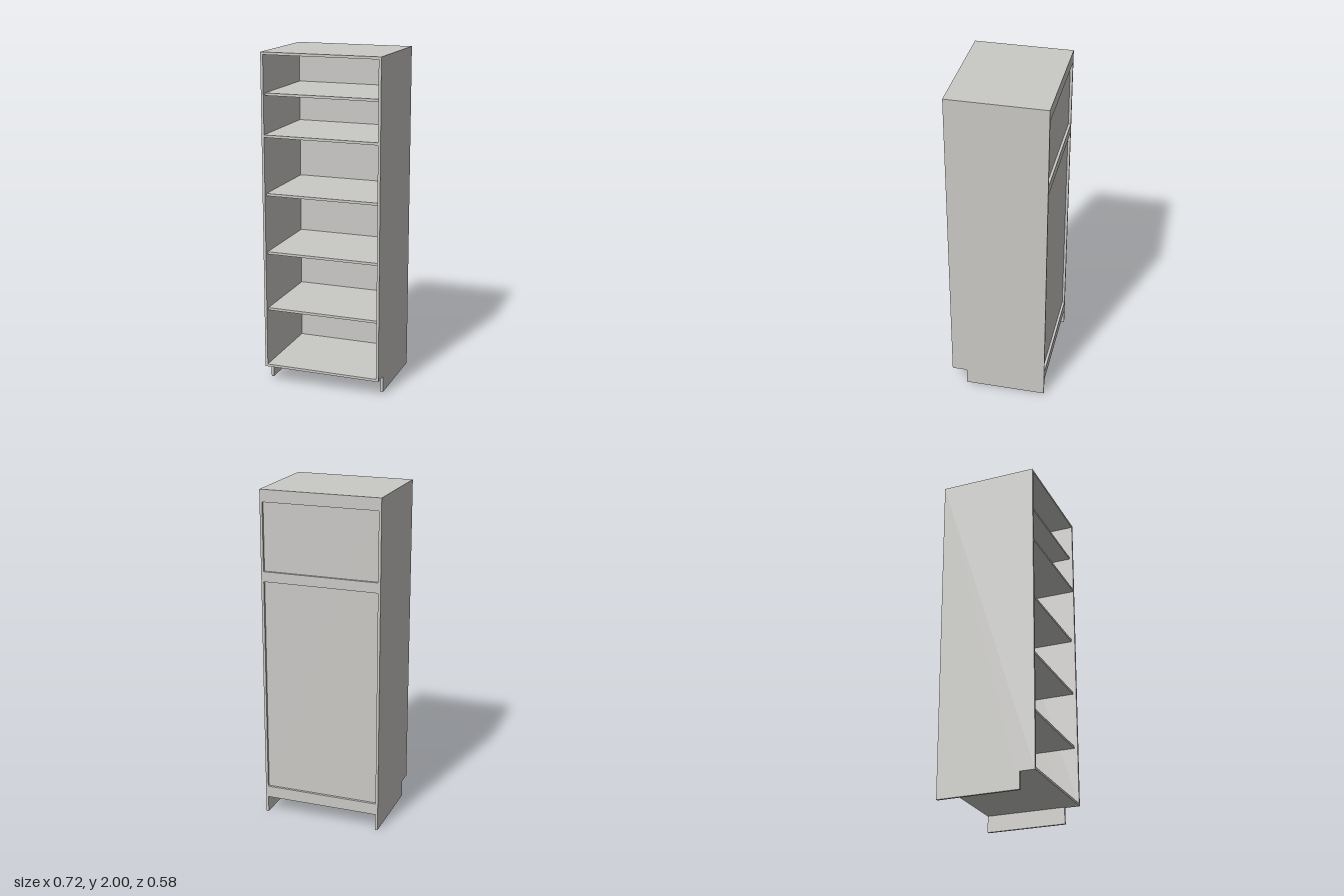
import * as THREE from 'three';

// Open tall cabinet: notched sides, fixed and loose shelves, recessed back with rails
export function createModel() {
  const group = new THREE.Group();
  const board = new THREE.MeshStandardMaterial({ color: 0xcac9c6 });
  board.name = 'pale grey board';

  const W = 0.36, T = 0.015, F = 0.29, B = -0.29; // half width, board thickness, front, back
  const inner = W - T, railT = 0.015, backT = 0.012;
  const railFront = B + railT, panelFront = railFront + backT;

  function box(name, halfW, y0, y1, z0, z1) {
    const mesh = new THREE.Mesh(new THREE.BoxGeometry(halfW * 2, y1 - y0, z1 - z0), board);
    mesh.name = name;
    mesh.position.set(0, (y0 + y1) / 2, (z0 + z1) / 2);
    group.add(mesh);
  }

  // Side panels with a toe notch at the lower front (profile drawn in z, y)
  const profile = new THREE.Shape([
    [B, 0], [0.2, 0], [0.2, 0.1], [F, 0.1], [F, 2], [B, 2],
  ].map(([z, y]) => new THREE.Vector2(-z, y)));
  for (const [name, x] of [['leftSide', inner], ['rightSide', -W]]) {
    const geometry = new THREE.ExtrudeGeometry(profile, { depth: T, bevelEnabled: false });
    geometry.rotateY(Math.PI / 2);
    const side = new THREE.Mesh(geometry, board);
    side.name = name;
    side.position.x = x;
    group.add(side);
  }

  // Fixed boards: the top and bottom reach the back, the divider stops at its rail
  box('topPanel', inner, 2 - T, 2, B, F);
  box('bottomPanel', inner, 0.1, 0.1 + T, B, F);
  box('fixedShelf', inner, 1.51, 1.51 + T, railFront, F);

  // Loose shelves, slightly narrower and set back from the front
  for (const y of [0.455, 0.805, 1.16, 1.75]) {
    box('looseShelf', inner - 0.002, y, y + T, panelFront, F - 0.02);
  }

  // Back panel and the three rails behind it
  box('backPanel', inner, 0.1 + T, 2 - T, railFront, panelFront);
  box('topRail', inner, 1.928, 2 - T, B, railFront);
  box('middleRail', inner, 1.465, 1.525, B, railFront);
  box('bottomRail', inner, 0.1 + T, 0.17, B, railFront);

  return group;
}
